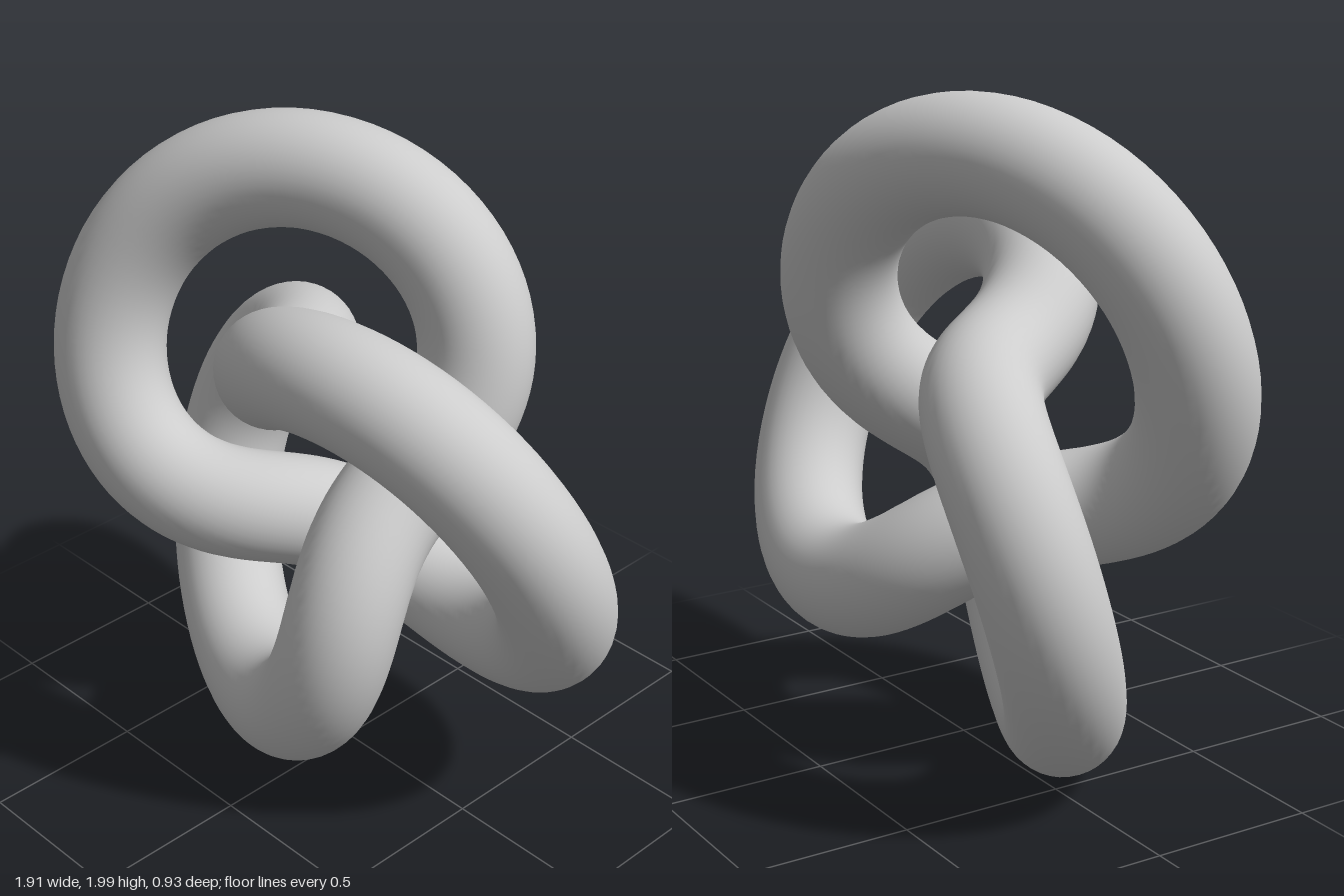
import * as THREE from 'three';

// Trefoil knot: a round tube winding twice around the axis with three lobes.
export function createModel() {
  const model = new THREE.Group();
  model.name = 'trefoilKnot';

  const grey = new THREE.MeshStandardMaterial({ color: 0xcccccc });
  grey.name = 'light grey';

  const radius = 0.585;
  const tube = 0.171;
  const knot = new THREE.Mesh(new THREE.TorusKnotGeometry(radius, tube, 256, 40, 2, 3), grey);
  knot.name = 'knotTube';
  // The knot's axis sits left of the middle so the overall width is centred.
  knot.position.set(-0.159 * radius, 1, 0);
  model.add(knot);

  return model;
}
